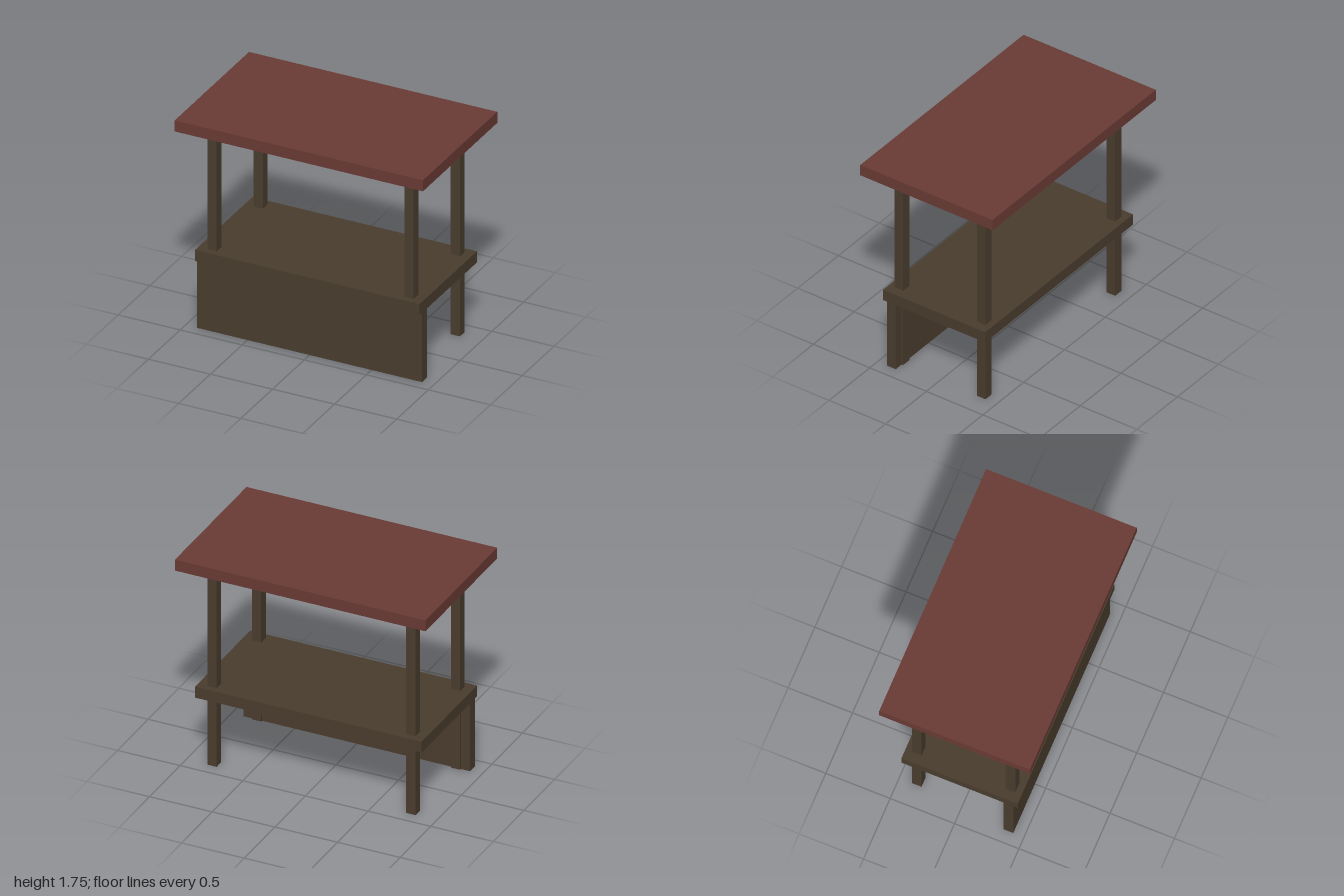
import * as THREE from 'three';

export function createModel() {
  const model = new THREE.Group();
  model.name = 'marketStall';

  const wood = new THREE.MeshStandardMaterial({ color: 0x4a3d2e });
  wood.name = 'dark wood';
  const red = new THREE.MeshStandardMaterial({ color: 0x6b3b35 });
  red.name = 'roof red';

  const addBox = (name, material, size, position) => {
    const mesh = new THREE.Mesh(new THREE.BoxGeometry(...size), material);
    mesh.name = name;
    mesh.position.set(...position);
    model.add(mesh);
  };

  // Flat roof, counter slab and front panel
  addBox('roof', red, [2, 0.09, 1.17], [0, 1.7, 0]);
  addBox('counter', wood, [1.81, 0.09, 0.904], [0, 0.606, 0]);
  addBox('frontPanel', wood, [1.81, 0.561, 0.077], [0, 0.2805, 0.378]);

  // Four corner posts running from the ground to the roof
  for (const [xName, x] of [['Left', 0.794], ['Right', -0.794]]) {
    for (const [zName, z] of [['front', 0.364], ['back', -0.364]]) {
      addBox(zName + xName + 'Post', wood, [0.075, 1.655, 0.075], [x, 0.8275, z]);
    }
  }
  return model;
}
